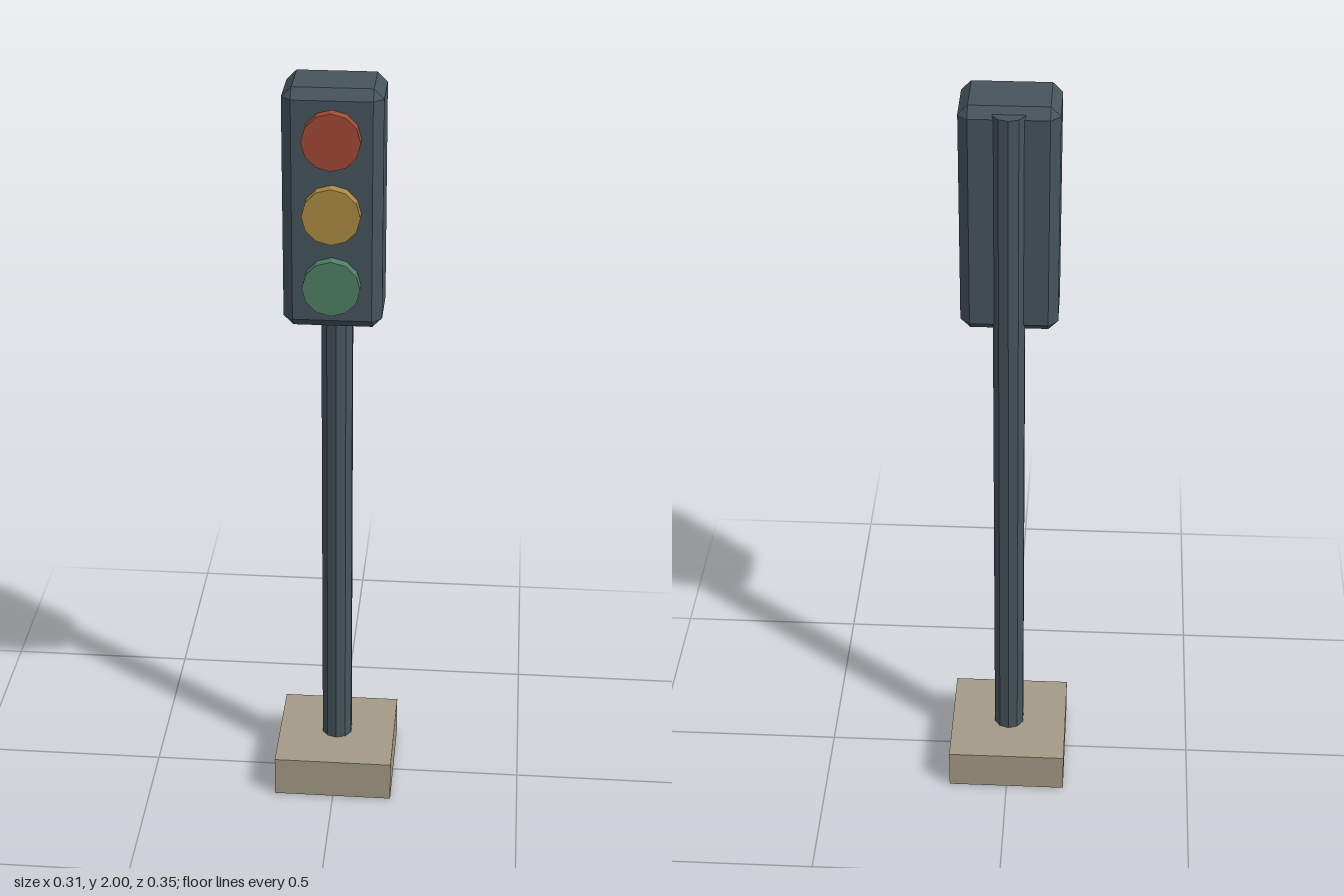
import * as THREE from 'three';
import { ConvexGeometry } from 'three/addons/geometries/ConvexGeometry.js';

const paint = (color) => new THREE.MeshStandardMaterial({ color, flatShading: true });

// Box with a flat chamfer on every edge and corner
function chamferedBox(w, h, d, c) {
  const points = [];
  for (const sx of [-1, 1]) for (const sy of [-1, 1]) for (const sz of [-1, 1]) {
    for (let axis = 0; axis < 3; axis++) {
      const inset = [0, 1, 2].map((i) => (i === axis ? 0 : c));
      points.push(new THREE.Vector3(
        sx * (w / 2 - inset[0]), sy * (h / 2 - inset[1]), sz * (d / 2 - inset[2])));
    }
  }
  return new ConvexGeometry(points);
}

export function createModel() {
  const group = new THREE.Group();
  const metal = paint(0x46545c);
  const add = (name, geometry, material, x, y, z) => {
    const mesh = new THREE.Mesh(geometry, material);
    mesh.name = name;
    mesh.position.set(x, y, z);
    group.add(mesh);
    return mesh;
  };

  // Concrete foot, with the pole's end just showing underneath
  add('base', new THREE.BoxGeometry(0.314, 0.111, 0.314), paint(0xa39b86), 0, 0.0595, -0.016);

  // Ten-sided pole running up behind the housing
  add('pole', new THREE.CylinderGeometry(0.041, 0.041, 1.985, 10), metal, 0, 0.9925, -0.017);

  // Signal housing
  add('housing', chamferedBox(0.24, 0.6, 0.177, 0.024), metal, 0, 1.7, 0.0545);

  // Lamps
  const lamps = [['redLamp', 0xa04a36, 1.885], ['amberLamp', 0xaa8a42, 1.701], ['greenLamp', 0x4e8064, 1.518]];
  for (const [name, color, y] of lamps) {
    const lens = new THREE.CylinderGeometry(0.07, 0.07, 0.04, 12).rotateX(Math.PI / 2);
    add(name, lens, paint(color), 0, y, 0.152);
  }
  return group;
}
